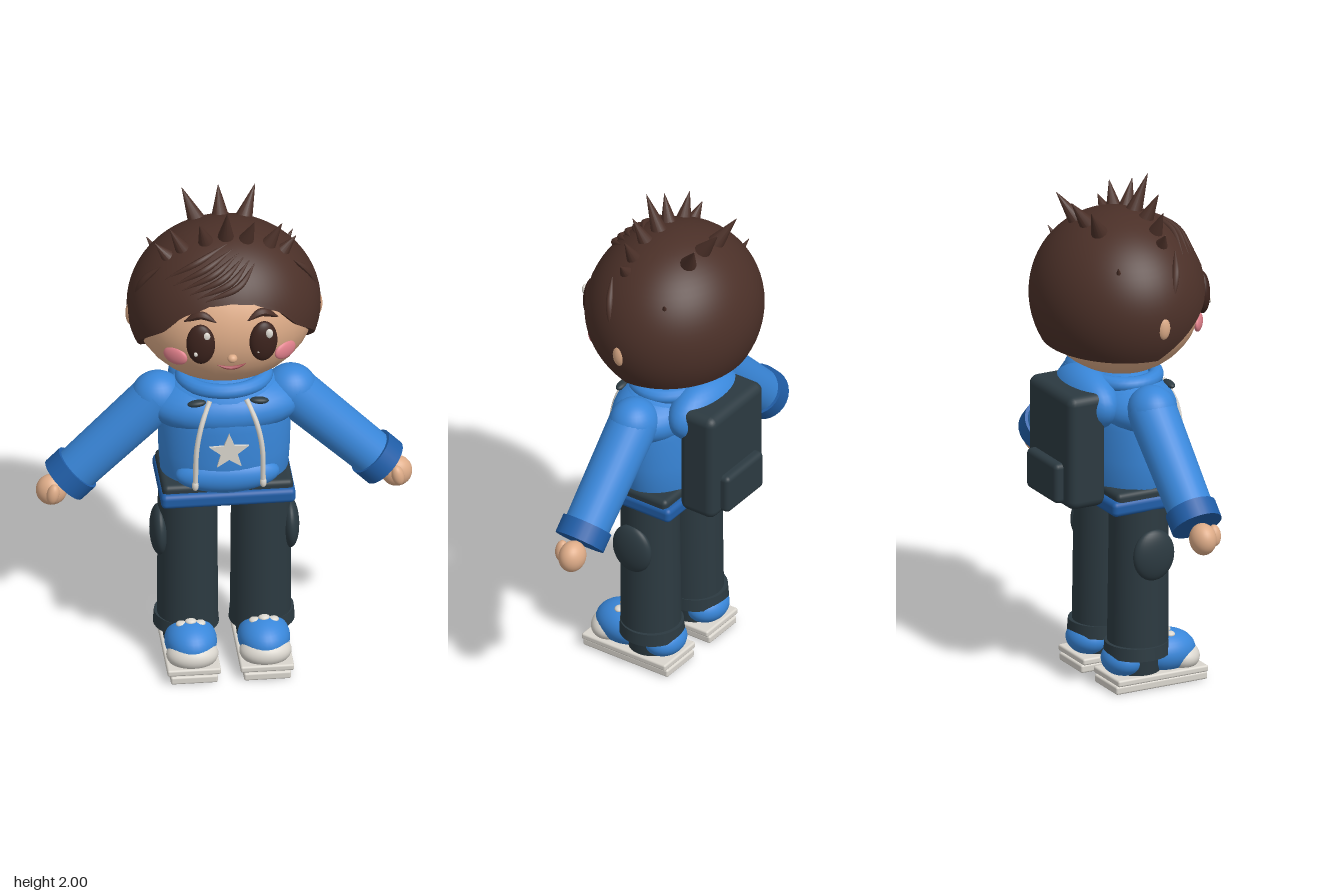
import * as THREE from 'three';
import { toCreasedNormals } from 'three/addons/utils/BufferGeometryUtils.js';
import { RoundedBoxGeometry } from 'three/addons/geometries/RoundedBoxGeometry.js';

const mat = (name, color) => Object.assign(new THREE.MeshStandardMaterial({ color }), { name });
const V = (x, y, z) => new THREE.Vector3(x, y, z);

export function createModel() {
  const root = new THREE.Group();
  const skin = mat('skin', 0xdeac88), hairM = mat('hair brown', 0x4b3028), eyeM = mat('eye brown', 0x3c231d);
  const blue = mat('hoodie blue', 0x3987da), navy = mat('trim blue', 0x205ea8), dark = mat('dark slate', 0x2c3a41);
  const white = mat('off white', 0xdad6ce), pink = mat('cheek pink', 0xdf7f8a), lip = mat('mouth red', 0xa9525a);

  const add = (name, geo, m, x = 0, y = 0, z = 0) => {
    const mesh = new THREE.Mesh(geo, m);
    mesh.name = name;
    mesh.position.set(x, y, z);
    root.add(mesh);
    return mesh;
  };
  const ball = (name, m, [x, y, z], [rx, ry, rz]) =>
    add(name, new THREE.SphereGeometry(1, 32, 20).scale(rx, ry, rz), m, x, y, z);
  const box = (name, m, [x, y, z], [w, h, d], r) =>
    add(name, new RoundedBoxGeometry(w, h, d, 3, r), m, x, y, z);
  // cylinder or cone running from a to b
  const rod = (name, m, a, b, r0, r1, sides = 28) => {
    const dir = b.clone().sub(a);
    const mid = a.clone().add(b).multiplyScalar(0.5);
    const mesh = add(name, new THREE.CylinderGeometry(r1, r0, dir.length(), sides), m, mid.x, mid.y, mid.z);
    mesh.quaternion.setFromUnitVectors(V(0, 1, 0), dir.normalize());
    return mesh;
  };
  // tube along points; taper narrows both ends
  const cord = (name, m, pts, r, taper = false) => {
    const curve = new THREE.CatmullRomCurve3(pts), n = 20, sides = 8;
    const geo = new THREE.TubeGeometry(curve, n, r, sides);
    if (taper) {
      const p = geo.attributes.position, v = V();
      for (let i = 0; i < p.count; i++) {
        const t = Math.floor(i / (sides + 1)) / n, c = curve.getPointAt(t);
        v.fromBufferAttribute(p, i).sub(c).multiplyScalar(0.1 + 0.9 * Math.sin(Math.PI * t)).add(c);
        p.setXYZ(i, v.x, v.y, v.z);
      }
      geo.computeVertexNormals();
    }
    return add(name, geo, m);
  };

  // ---- head ----
  const C = 1.53, F = [0.35, 0.30, 0.31], H = [0.37, 0.34, 0.33];
  const onShell = ([rx, ry, rz], x, y, lift = 0) =>
    V(x, y, rz * Math.sqrt(Math.max(0, 1 - (x / rx) ** 2 - ((y - C) / ry) ** 2)) + lift);
  ball('head', skin, [0, C, 0], F);

  // hair cap: ellipsoid ending on a hairline that rises over the face
  const line = [[0, 1.69], [15, 1.68], [32, 1.63], [44, 1.55], [65, 1.465], [90, 1.36], [180, 1.36]];
  const hairline = deg => {
    const k = Math.max(1, line.findIndex(p => p[0] >= deg));
    const [a, b] = [line[k - 1], line[k]];
    return a[1] + (b[1] - a[1]) * (deg - a[0]) / (b[0] - a[0]);
  };
  const cols = 96, rows = 24, pos = [], idx = [];
  for (let i = 0; i <= cols; i++) {
    const deg = -180 + 360 * i / cols, phi = deg * Math.PI / 180;
    const end = Math.acos((hairline(Math.abs(deg)) - C) / H[1]);
    for (let j = 0; j <= rows + 1; j++) {
      const th = end * Math.min(j, rows) / rows, s = Math.sin(th) * (j > rows ? 0.85 : 1);
      pos.push(H[0] * s * Math.sin(phi), C + H[1] * Math.cos(th), H[2] * s * Math.cos(phi));
      if (i < cols && j <= rows) {
        const a = i * (rows + 2) + j, d = a + rows + 2;
        idx.push(a, a + 1, d + 1, a, d + 1, d);
      }
    }
  }
  const cap = new THREE.BufferGeometry();
  cap.setAttribute('position', new THREE.Float32BufferAttribute(pos, 3));
  cap.setIndex(idx);
  add('hairCap', toCreasedNormals(cap, 0.7), hairM);

  // crown spikes: base x, y, z, tip x, y, z
  const spikes = [[0, 1.83, 0.06, 0, 1.995, 0.13], [0, 1.82, -0.12, 0, 1.93, -0.2]];
  for (const s of [-1, 1]) spikes.push(
    [s * 0.07, 1.82, 0.07, s * 0.105, 1.945, 0.12], [s * 0.15, 1.79, 0.07, s * 0.215, 1.91, 0.08],
    [s * 0.085, 1.81, -0.12, s * 0.14, 1.93, -0.19], [s * 0.2, 1.76, 0.07, s * 0.27, 1.84, 0.06]);
  for (const [a, b, c, d, e, f] of spikes)
    rod('hairSpike', hairM, V(a, b, c), V(d, e, f), 0.038, 0.001, 12);

  // swept fringe and side locks
  for (let i = 0; i < 6; i++) cord('fringeStrand', hairM, [
    onShell(H, 0.1 - 0.02 * i, 1.8 + 0.01 * i), onShell(H, 0.03 - 0.03 * i, 1.745 + 0.012 * i, 0.004),
    onShell(H, -0.1 - 0.028 * i, 1.695 + 0.008 * i)], 0.013, true);
  for (const s of [-1, 1]) {
    cord('sideLock', hairM, [V(s * 0.255, 1.765, 0.11), V(s * 0.315, 1.69, 0.08), V(s * 0.35, 1.6, 0.05)], 0.015, true);
    rod('backTuft', hairM, V(s * 0.25, 1.70, -0.13), V(s * 0.28, 1.745, -0.15), 0.015, 0.001, 8);
  }

  // ---- face ----
  for (const s of [-1, 1]) {
    ball('ear', skin, [s * 0.355, 1.505, 0.005], [0.022, 0.05, 0.028]);
    const eye = ball('eye', eyeM, [s * 0.12, 1.525, 0.298], [0.055, 0.085, 0.03]);
    eye.rotation.y = s * 0.2;
    ball('eyeGlint', white, [s * 0.12 + 0.02, 1.567, 0.318], [0.015, 0.02, 0.009]);
    ball('eyeSparkle', white, [s * 0.12 - 0.021, 1.494, 0.32], [0.008, 0.01, 0.007]);
    cord('brow', hairM, [onShell(F, s * 0.06, 1.617, 0.006), onShell(F, s * 0.115, 1.64, 0.008),
      onShell(F, s * 0.18, 1.607, 0.006)], 0.017, true);
    ball('cheek', pink, [s * 0.21, 1.443, 0.235], [0.052, 0.036, 0.016]).rotation.y = s * 0.65;
  }
  ball('nose', skin, [0, 1.46, 0.308], [0.019, 0.017, 0.018]);
  cord('mouth', lip, [-0.055, -0.03, 0, 0.03, 0.055].map(x => onShell(F, x, 1.405 + 6 * x * x, 0.002)), 0.008, true);

  // ---- hoodie ----
  const profile = [[0, 0.77], [0.22, 0.77], [0.245, 0.82], [0.252, 0.92], [0.255, 1.05], [0.245, 1.14], [0.19, 1.21], [0, 1.24]];
  const torso = new THREE.LatheGeometry(profile.map(p => new THREE.Vector2(...p)), 40).scale(1, 1, 0.7);
  add('torso', torso, blue, 0, 0, 0.015);
  ball('chest', blue, [0, 1.11, 0.02], [0.3, 0.12, 0.175]);
  ball('pouch', blue, [0, 0.848, 0.13], [0.2, 0.075, 0.072]);
  ball('hood', blue, [0, 1.14, -0.14], [0.2, 0.12, 0.1]);
  add('collar', new THREE.TorusGeometry(0.155, 0.033, 12, 40).rotateX(Math.PI / 2).scale(1, 0.9, 0.85), blue, 0, 1.215, 0.01);
  box('hem', navy, [0, 0.757, 0.015], [0.515, 0.06, 0.34], 0.02);
  box('waistband', dark, [0, 0.79, 0.015], [0.5, 0.055, 0.3], 0.02);

  // star badge
  const star = new THREE.Shape();
  for (let i = 0; i < 10; i++) {
    const r = i % 2 ? 0.034 : 0.08, a = Math.PI / 2 + i * Math.PI / 5;
    star[i ? 'lineTo' : 'moveTo'](r * Math.cos(a), r * Math.sin(a));
  }
  add('starBadge', new THREE.ExtrudeGeometry(star, { depth: 0.009, bevelEnabled: false }), white, 0, 0.98, 0.192);

  for (const s of [-1, 1]) {
    ball('eyelet', dark, [s * 0.12, 1.178, 0.157], [0.036, 0.013, 0.018]).rotation.z = -s * 0.1;
    cord('drawstring', white, [V(s * 0.07, 1.185, 0.155), V(s * 0.105, 1.1, 0.193), V(s * 0.125, 1.0, 0.205),
      V(s * 0.13, 0.84, 0.2)], 0.01);
    ball('drawstringTip', white, [s * 0.13, 0.84, 0.2], [0.013, 0.022, 0.013]);

    // arms
    const at = (x, y, z = 0.01) => V(s * x, y, z);
    ball('shoulder', blue, [s * 0.255, 1.135, 0.01], [0.102, 0.1, 0.095]);
    rod('sleeve', blue, at(0.25, 1.14), at(0.58, 0.815), 0.096, 0.088);
    rod('cuff', navy, at(0.561, 0.836), at(0.613, 0.784), 0.1, 0.1);
    ball('hand', skin, [s * 0.66, 0.745, 0.01], [0.06, 0.062, 0.05]);
    ball('thumb', skin, [s * 0.66, 0.752, 0.06], [0.024, 0.042, 0.025]).rotation.z = s * 0.2;

    // legs
    const x = s * 0.14;
    rod('leg', dark, V(x, 0.14, 0.01), V(x, 0.77, 0.015), 0.117, 0.113, 36);
    ball('kneePatch', dark, [s * 0.25, 0.55, 0.02], [0.036, 0.102, 0.087]);
    add('trouserCuff', new THREE.CylinderGeometry(0.122, 0.126, 0.05, 36), dark, s * 0.145, 0.155, 0.002);

    // shoes
    add('ankle', new THREE.CylinderGeometry(0.1, 0.09, 0.1, 28), dark, x, 0.1, 0.005);
    ball('shoeUpper', blue, [x, 0.115, 0.125], [0.1, 0.085, 0.125]);
    ball('shoeHeel', blue, [x, 0.11, -0.055], [0.095, 0.065, 0.08]);
    ball('toeCap', white, [x, 0.088, 0.185], [0.1, 0.058, 0.078]);
    for (let i = -1; i <= 1; i++) ball('lace', white, [x + i * 0.035, 0.198 - Math.abs(i) * 0.01, 0.13], [0.022, 0.012, 0.02]);
    box('midsole', white, [x, 0.047, 0.068], [0.205, 0.026, 0.39], 0.008);
    box('outsole', white, [x, 0.016, 0.068], [0.18, 0.032, 0.395], 0.008);
  }

  // ---- backpack ----
  box('backpack', dark, [0, 0.978, -0.22], [0.35, 0.455, 0.16], 0.035);
  box('backpackPocket', dark, [0, 0.85, -0.305], [0.24, 0.16, 0.06], 0.02);
  return root;
}
